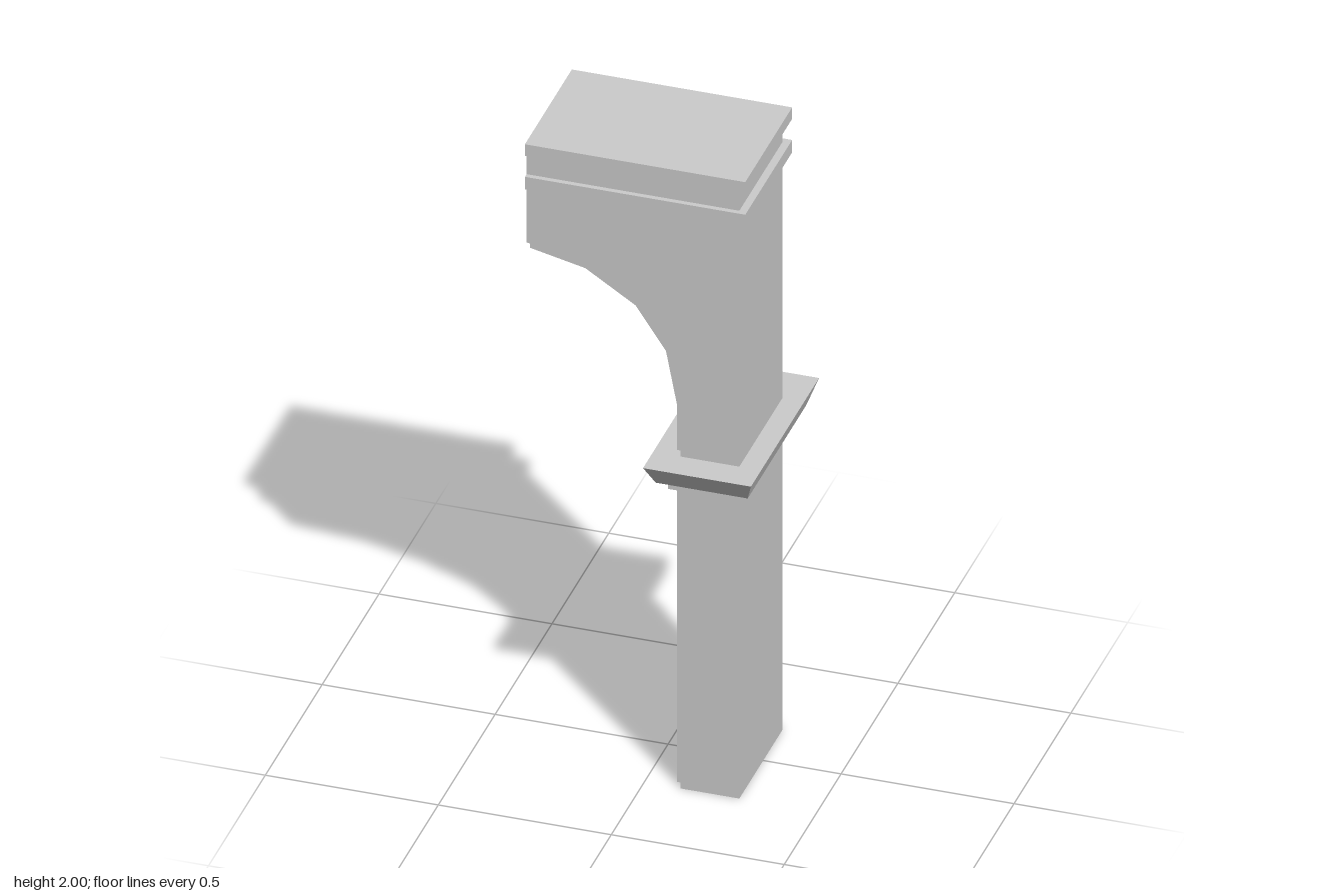
import * as THREE from 'three';

const mat = new THREE.MeshStandardMaterial({ color: 0xcccccc, flatShading: true, side: THREE.DoubleSide });

// Closed outline of the post and bracket, counter-clockwise, bottom edge last
const outline = (arch, footX) => [[0.275, 0], [0.275, 1.98], [-0.34, 1.98], ...arch, [footX, 0]];

// Skin through matching outlines at successive z, capped at both ends, open underneath
function loft(rings) {
  const pos = [];
  const put = (...pts) => pts.forEach((p) => pos.push(...p));
  const n = rings[0].pts.length;
  const at = (k, i) => [...rings[k].pts[i % n], rings[k].z];
  for (let k = 0; k < rings.length - 1; k++) {
    for (let i = 0; i < n - 1; i++) {
      const a = at(k, i), b = at(k, i + 1), c = at(k + 1, i + 1), d = at(k + 1, i);
      put(a, b, c, a, c, d);
    }
  }
  const last = rings.length - 1;
  for (const k of [0, last]) {
    const flat = rings[k].pts.map(([x, y]) => new THREE.Vector2(x, y));
    for (const [a, b, c] of THREE.ShapeUtils.triangulateShape(flat, [])) {
      if (k === last) put(at(k, a), at(k, b), at(k, c));
      else put(at(k, c), at(k, b), at(k, a));
    }
  }
  const geo = new THREE.BufferGeometry();
  geo.setAttribute('position', new THREE.Float32BufferAttribute(pos, 3));
  geo.computeVertexNormals();
  return geo;
}

// Box given by its limits on each axis
function block(name, [x0, x1], [y0, y1], [z0, z1]) {
  const geo = new THREE.BoxGeometry(x1 - x0, y1 - y0, z1 - z0);
  geo.translate((x0 + x1) / 2, (y0 + y1) / 2, (z0 + z1) / 2);
  const mesh = new THREE.Mesh(geo, mat);
  mesh.name = name;
  return mesh;
}

export function createModel() {
  const group = new THREE.Group();
  group.name = 'archedPillar';

  // Post and half-arch bracket, with a stepped rebate along the arch on both faces
  const soffit = outline([[-0.34, 1.64], [-0.18, 1.605], [-0.035, 1.513], [0.053, 1.383], [0.085, 1.215]], 0.085);
  const faceArch = [[-0.34, 1.675], [-0.147, 1.64], [-0.012, 1.55], [0.08, 1.428], [0.105, 1.265]];
  const face = outline(faceArch, 0.105);
  const rebate = outline(faceArch.map(([x, y], i) => [i ? x - 0.003 : x, y - 0.01]), 0.105);
  const post = new THREE.Mesh(loft([
    { pts: face, z: -0.17 }, { pts: rebate, z: -0.14 }, { pts: soffit, z: -0.14 },
    { pts: soffit, z: 0.18 }, { pts: rebate, z: 0.18 }, { pts: face, z: 0.21 },
  ]), mat);
  post.name = 'postAndBracket';
  group.add(post);

  // Top slab and the band below it, flush at the cut end of the arch
  group.add(block('topSlab', [-0.34, 0.297], [1.963, 2], [-0.188, 0.225]));
  group.add(block('upperBand', [-0.34, 0.297], [1.855, 1.895], [-0.188, 0.225]));

  // Flared capital: the lower corners drawn inward
  const capital = block('capital', [0.026, 0.338], [1.003, 1.07], [-0.3, 0.3]);
  const p = capital.geometry.attributes.position;
  for (let i = 0; i < p.count; i++) {
    if (p.getY(i) < 1.03) {
      p.setX(i, p.getX(i) > 0.18 ? 0.315 : 0.049);
      p.setZ(i, Math.sign(p.getZ(i)) * 0.258);
    }
  }
  capital.geometry.computeVertexNormals();
  group.add(capital);
  group.add(block('capitalNeck', [0.07, 0.292], [0.962, 1.003], [-0.215, 0.215]));

  return group;
}
